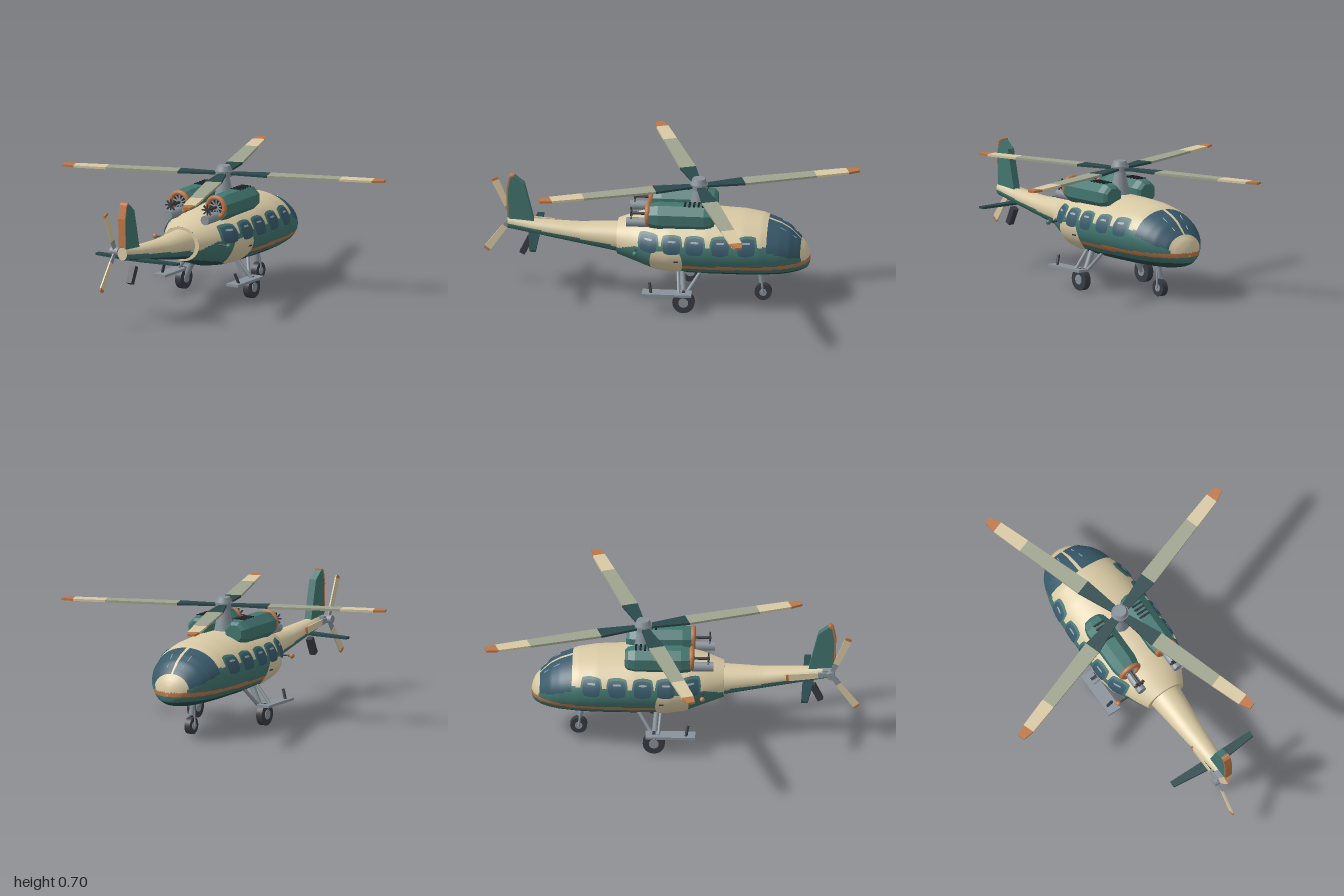
import * as THREE from 'three';

const mat = (name, color, double) => {
  const m = new THREE.MeshStandardMaterial({ color });
  m.name = name;
  if (double) m.side = THREE.DoubleSide;
  return m;
};
const M = {
  cream: mat('cream', 0xd8c9a4, true), teal: mat('teal', 0x42756f), belly: mat('darkTeal', 0x2a484b),
  glass: mat('glass', 0x38596a, true), orange: mat('orange', 0xbd7748), grey: mat('grey', 0x88929a),
  dark: mat('rubber', 0x383b42), blade: mat('bladeGrey', 0x9ea48e), black: mat('vent', 0x1e2327),
  glint: mat('glint', 0x93a9af, true),
};
M.teal.side = THREE.DoubleSide;

// Sections: z, half width, bottom, top
const HULL = [
  [-0.757, 0.004, 0.247, 0.26], [-0.75, 0.04, 0.215, 0.3], [-0.735, 0.075, 0.2, 0.335], [-0.7, 0.12, 0.188, 0.375],
  [-0.65, 0.16, 0.178, 0.425], [-0.6, 0.185, 0.172, 0.455], [-0.5, 0.215, 0.167, 0.492], [-0.4, 0.23, 0.166, 0.507],
  [-0.2, 0.237, 0.167, 0.517], [0, 0.233, 0.175, 0.51], [0.1, 0.215, 0.19, 0.495], [0.2, 0.165, 0.222, 0.47],
  [0.29, 0.115, 0.25, 0.44],
];
const BOOM = [[0.285, 0.09, 0.26, 0.425], [0.5, 0.068, 0.3, 0.415], [0.75, 0.045, 0.345, 0.425], [0.89, 0.03, 0.37, 0.44]];

function section(rows, z) {
  let i = 0;
  while (i < rows.length - 2 && z > rows[i + 1][0]) i++;
  const a = rows[i], b = rows[i + 1], t = THREE.MathUtils.clamp((z - a[0]) / (b[0] - a[0]), 0, 1);
  const [w, lo, hi] = [1, 2, 3].map(k => a[k] + (b[k] - a[k]) * t);
  return { w, y: (lo + hi) / 2, h: (hi - lo) / 2 };
}

function mesh(parent, name, geo, material, x = 0, y = 0, z = 0) {
  const m = new THREE.Mesh(geo, material);
  m.name = name;
  m.position.set(x, y, z);
  parent.add(m);
  return m;
}
const box = (p, name, m, w, h, d, x, y, z) => mesh(p, name, new THREE.BoxGeometry(w, h, d), m, x, y, z);

function rod(parent, name, m, a, b, r, r2 = r) {
  const A = new THREE.Vector3(...a), B = new THREE.Vector3(...b);
  const o = mesh(parent, name, new THREE.CylinderGeometry(r2, r, A.distanceTo(B), 12), m);
  o.position.copy(A).lerp(B, 0.5);
  o.quaternion.setFromUnitVectors(new THREE.Vector3(0, 1, 0), B.sub(A).normalize());
  return o;
}

// Smooth tube of elliptical sections, each face coloured by a rule
function skin(parent, name, rows, rings, n, pick) {
  const pos = [], lists = new Map(), z0 = rows[0][0], z1 = rows.at(-1)[0];
  for (let i = 0; i <= rings; i++) {
    const z = z0 + (z1 - z0) * (i / rings) ** 1.4, s = section(rows, z);
    for (let j = 0; j < n; j++) {
      const a = (j / n) * Math.PI * 2;
      pos.push(s.w * Math.cos(a), s.y + s.h * Math.sin(a), z);
    }
  }
  for (let i = 0; i < rings; i++) for (let j = 0; j < n; j++) {
    const a = i * n + j, b = i * n + (j + 1) % n, c = a + n, d = b + n;
    const mid = k => (pos[a * 3 + k] + pos[b * 3 + k] + pos[c * 3 + k] + pos[d * 3 + k]) / 4;
    const m = pick(mid(0), mid(1), mid(2));
    if (!lists.has(m)) lists.set(m, []);
    lists.get(m).push(a, b, c, b, d, c);
  }
  const geo = new THREE.BufferGeometry(), index = [], mats = [...lists.keys()];
  mats.forEach((m, k) => {
    geo.addGroup(index.length, lists.get(m).length, k);
    for (const v of lists.get(m)) index.push(v);
  });
  geo.setAttribute('position', new THREE.Float32BufferAttribute(pos, 3));
  geo.setIndex(index);
  geo.computeVertexNormals();
  mesh(parent, name, geo, mats);
  // flat end
  const s = section(rows, z1);
  mesh(parent, name + 'End', new THREE.CircleGeometry(1, 40), M.cream, 0, s.y, z1).scale.set(s.w, s.h, 1);
}

// Rounded panel that follows the side of the hull
function panel(parent, name, m, side, z, y, hw, hh, off) {
  const g = new THREE.PlaneGeometry(2, 2, 10, 10), p = g.attributes.position;
  for (let i = 0; i < p.count; i++) {
    const u = p.getX(i), v = p.getY(i);
    const pz = z - hw * u * Math.sqrt(1 - 0.28 * v * v), py = y + hh * v * Math.sqrt(1 - 0.28 * u * u);
    const s = section(HULL, pz), t = (py - s.y) / (s.h + off);
    p.setXYZ(i, side * (s.w + off) * Math.sqrt(Math.max(0, 1 - t * t)), py, pz);
  }
  if (side < 0) {
    const ix = g.index;
    for (let i = 0; i < ix.count; i += 3) { const a = ix.getX(i); ix.setX(i, ix.getX(i + 1)); ix.setX(i + 1, a); }
  }
  g.computeVertexNormals();
  mesh(parent, name, g, m);
}

// Flat plate from an outline of (z, y) points, centred on x
function plate(parent, name, m, pts, thick) {
  const shape = new THREE.Shape(pts.map(q => new THREE.Vector2(...q)));
  const g = new THREE.ExtrudeGeometry(shape, { depth: thick, bevelEnabled: false });
  g.translate(0, 0, -thick / 2).rotateY(-Math.PI / 2);
  return mesh(parent, name, g, m);
}

// Rotor blade along +x in coloured lengths: start, width, end, width, material
function blade(parent, name, parts, thick) {
  const g = new THREE.Group();
  g.name = name;
  for (const [r0, w0, r1, w1, m] of parts) {
    const s = new THREE.Shape([[r0, -w0 / 2], [r1, -w1 / 2], [r1, w1 / 2], [r0, w0 / 2]].map(q => new THREE.Vector2(...q)));
    const geo = new THREE.ExtrudeGeometry(s, { depth: thick, bevelEnabled: false });
    mesh(g, name + 'Section', geo.translate(0, 0, -thick / 2).rotateX(-Math.PI / 2), m);
  }
  parent.add(g);
  return g;
}

function wheel(parent, name, x, y, z, r, w) {
  mesh(parent, name, new THREE.CylinderGeometry(r, r, w, 28).rotateZ(Math.PI / 2), M.dark, x, y, z);
  mesh(parent, name + 'Hub', new THREE.CylinderGeometry(r * 0.45, r * 0.45, w + 0.006, 16).rotateZ(Math.PI / 2), M.grey, x, y, z);
}

function engine(parent, s) {
  const g = new THREE.Group();
  g.name = 'engine';
  g.position.set(s * 0.117, 0.52, 0);
  parent.add(g);
  // eight-sided nacelle with chamfered ends
  const prof = [[0, -0.245], [0.05, -0.245], [0.066, -0.228], [0.076, -0.19], [0.076, 0.06], [0.066, 0.11], [0, 0.11]];
  const geo = new THREE.LatheGeometry(prof.map(q => new THREE.Vector2(...q)), 8).rotateY(Math.PI / 8).rotateX(Math.PI / 2).toNonIndexed();
  geo.computeVertexNormals();
  mesh(g, 'nacelle', geo, M.teal);
  // rear ring and fan
  mesh(g, 'exhaustRing', new THREE.TorusGeometry(0.054, 0.013, 10, 32), M.orange, 0, 0.01, 0.118);
  mesh(g, 'exhaustDisc', new THREE.CircleGeometry(0.052, 28), M.black, 0, 0.01, 0.113);
  for (let i = 0; i < 10; i++) {
    const b = box(g, 'fanBlade', M.grey, 0.007, 0.046, 0.006, 0, 0.01, 0.117);
    b.geometry.translate(0, 0.024, 0);
    b.rotation.z = (i / 10) * Math.PI * 2;
  }
  // small spoked vane on a shaft, and the canister below it
  rod(g, 'vaneShaft', M.dark, [0, 0.01, 0.11], [0, 0.01, 0.215], 0.008);
  for (let i = 0; i < 4; i++) box(g, 'vane', M.dark, 0.007, 0.066, 0.008, 0, 0.01, 0.208).rotation.z = i * Math.PI / 4;
  rod(g, 'canister', M.grey, [0, -0.042, 0.1], [0, -0.042, 0.235], 0.026);
  // top vents
  for (let i = 0; i < 5; i++) box(g, 'vent', M.black, 0.062, 0.012, 0.011, 0, 0.068, -0.185 + i * 0.025);
}

export function createModel() {
  const root = new THREE.Group();
  root.name = 'helicopter';

  skin(root, 'fuselage', HULL, 90, 128, (x, y, z) => {
    if (y < 0.215 + Math.max(0, z - 0.05) * 0.2) return M.belly;
    if (z < 0.08 && y > 0.246 && y < 0.27) return M.orange;
    if (z < -0.718 && y > 0.27) return M.cream;
    if (z < -0.53 && y > 0.36 + (z + 0.53) * 0.38) return Math.abs(x) < 0.008 || z < -0.708 ? M.cream : M.glass;
    return y > (z > 0.1 ? 0.385 - (z - 0.1) * 0.35 : 0.385) ? M.cream : M.teal;
  });
  skin(root, 'tailBoom', BOOM, 30, 48, (x, y, z) =>
    y > 0.315 + (z - 0.29) * 0.15 ? M.cream : y > 0.285 + (z - 0.29) * 0.15 ? M.teal : M.belly);

  for (const s of [1, -1]) {
    // cabin windows and door
    for (const z of [0.11, -0.02, -0.145, -0.285, -0.425]) {
      panel(root, 'windowFrame', M.teal, s, z, 0.387, 0.058, 0.055, 0.003);
      panel(root, 'window', M.glass, s, z, 0.387, 0.048, 0.045, 0.007);
      panel(root, 'windowGlint', M.glint, s, z, 0.412, 0.022, 0.005, 0.01);
    }
    panel(root, 'door', M.cream, s, 0.012, 0.282, 0.09, 0.078, 0.006);
    box(root, 'doorHandle', M.dark, 0.012, 0.007, 0.025, s * 0.232, 0.3, -0.045);
    // windscreen wipers
    const onTop = (x, z) => {
      const c = section(HULL, z);
      return [s * x, c.y + c.h * Math.sqrt(1 - (x / c.w) ** 2) + 0.002, z];
    };
    rod(root, 'wiper', M.glint, onTop(0.045, -0.685), onTop(0.06, -0.6), 0.003);

    engine(root, s);

    // main landing gear with step platform
    wheel(root, 'mainWheel', s * 0.217, 0.06, -0.085, 0.06, 0.036);
    rod(root, 'mainStrut', M.grey, [s * 0.12, 0.23, -0.07], [s * 0.205, 0.06, -0.085], 0.016);
    rod(root, 'braceStrut', M.grey, [s * 0.13, 0.22, -0.18], [s * 0.2, 0.09, -0.09], 0.01);
    rod(root, 'outerStrut', M.grey, [s * 0.15, 0.21, -0.05], [s * 0.235, 0.115, -0.06], 0.009);
    box(root, 'stepPlatform', M.grey, 0.075, 0.014, 0.27, s * 0.232, 0.112, 0.005);
    rod(root, 'stepPost', M.dark, [s * 0.245, 0.115, 0.09], [s * 0.225, 0.17, 0.1], 0.008);

    // side lamps
    rod(root, 'lampArm', M.dark, [s * 0.17, 0.34, 0.178], [s * 0.235, 0.34, 0.178], 0.005);
    mesh(root, 'sideLamp', new THREE.SphereGeometry(0.014, 14, 10), s > 0 ? M.teal : M.orange, s * 0.235, 0.34, 0.178);
  }

  // nose gear
  wheel(root, 'noseWheel', 0, 0.046, -0.5, 0.046, 0.034);
  for (const x of [-0.022, 0.022]) rod(root, 'noseFork', M.grey, [x, 0.045, -0.5], [x * 0.6, 0.13, -0.49], 0.006);
  rod(root, 'noseStrut', M.grey, [0, 0.1, -0.493], [0, 0.2, -0.48], 0.016);

  // main rotor
  const rotor = new THREE.Group();
  rotor.name = 'mainRotor';
  rotor.position.set(0, 0.655, -0.15);
  rotor.rotation.y = 0.33;
  root.add(rotor);
  mesh(rotor, 'mast', new THREE.CylinderGeometry(0.028, 0.058, 0.15, 20), M.grey, 0, -0.085, 0);
  mesh(rotor, 'hub', new THREE.CylinderGeometry(0.048, 0.048, 0.03, 20), M.grey, 0, 0, 0);
  mesh(rotor, 'hubCap', new THREE.CylinderGeometry(0.034, 0.046, 0.03, 20), M.grey, 0, 0.028, 0);
  for (let i = 0; i < 4; i++) {
    blade(rotor, 'rotorBlade', [
      [0.03, 0.04, 0.25, 0.088, M.belly], [0.25, 0.088, 0.65, 0.074, M.blade],
      [0.65, 0.074, 0.83, 0.066, M.cream], [0.83, 0.066, 0.895, 0.04, M.orange],
    ], 0.012).rotation.set(0, i * Math.PI / 2, 0);
  }

  // tail fin, stabiliser and bumper
  plate(root, 'tailFin', M.teal, [[0.885, 0.4], [0.888, 0.6], [0.875, 0.67], [0.855, 0.678], [0.8, 0.635], [0.745, 0.41]], 0.042);
  plate(root, 'finTrailingEdge', M.orange, [[0.885, 0.44], [0.893, 0.44], [0.897, 0.6], [0.882, 0.675], [0.868, 0.685], [0.855, 0.685],
    [0.855, 0.678], [0.875, 0.67], [0.888, 0.6]], 0.044);
  const stab = new THREE.Shape([[-0.26, -0.715], [0.26, -0.715], [0.26, -0.75], [0.04, -0.775], [-0.04, -0.775], [-0.26, -0.75]]
    .map(q => new THREE.Vector2(...q)));
  mesh(root, 'stabiliser', new THREE.ExtrudeGeometry(stab, { depth: 0.012, bevelEnabled: false }).rotateX(-Math.PI / 2), M.belly, 0, 0.342, 0);
  box(root, 'tailBumper', M.dark, 0.034, 0.1, 0.032, 0, 0.27, 0.79).rotation.x = -0.45;

  // tail rotor
  const tail = new THREE.Group();
  tail.name = 'tailRotor';
  tail.position.set(-0.058, 0.41, 0.87);
  root.add(tail);
  mesh(tail, 'tailHub', new THREE.CylinderGeometry(0.022, 0.022, 0.05, 16).rotateZ(Math.PI / 2), M.grey);
  box(tail, 'gearbox', M.grey, 0.04, 0.04, 0.05, 0.025, 0, -0.02);
  for (let i = 0; i < 3; i++) {
    blade(tail, 'tailBlade', [
      [0.01, 0.022, 0.07, 0.032, M.grey], [0.07, 0.032, 0.23, 0.04, M.cream], [0.23, 0.04, 0.245, 0.03, M.orange],
    ], 0.008).rotation.set(0.42 + i * Math.PI * 2 / 3, 0, Math.PI / 2);
  }
  return root;
}
